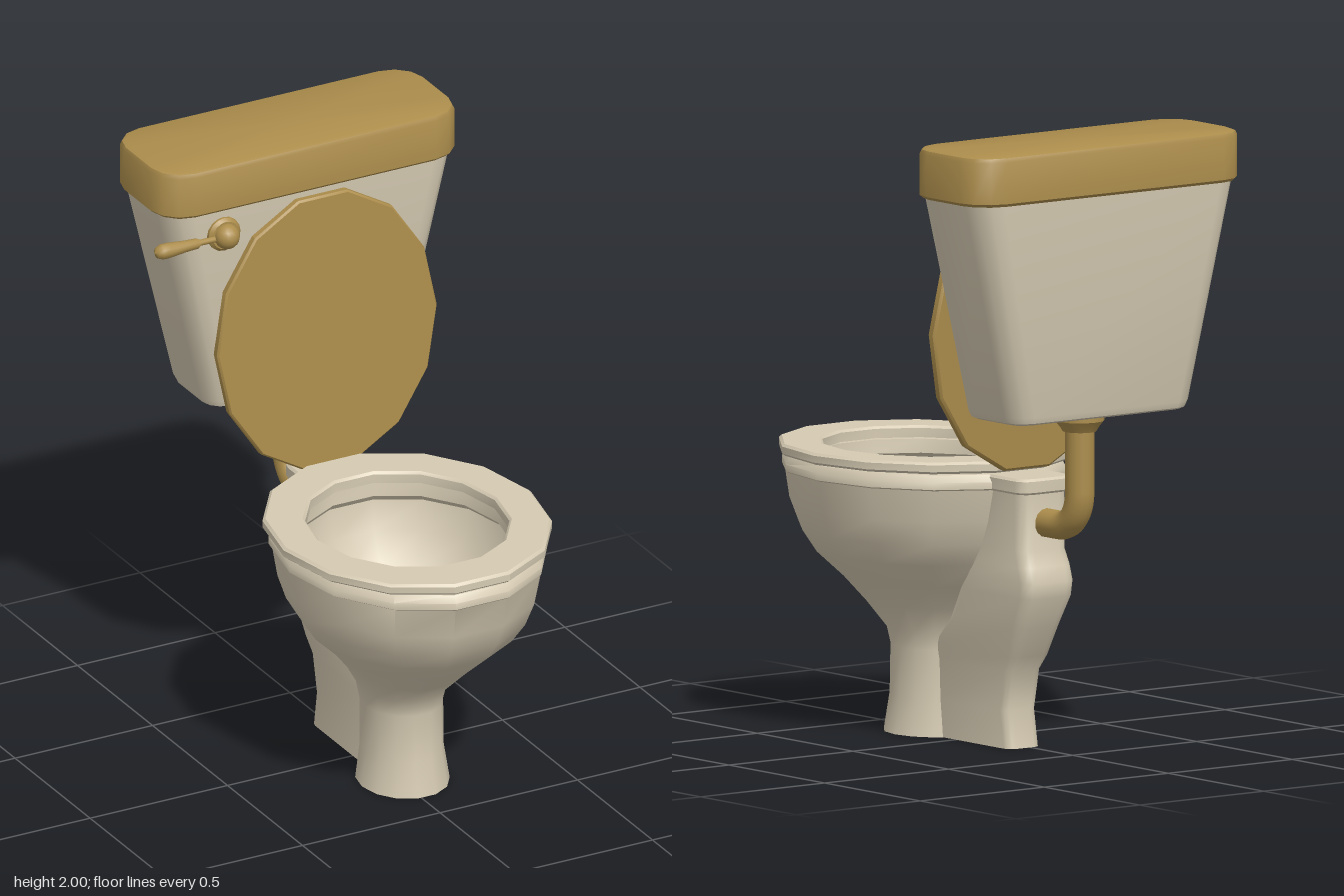
import * as THREE from 'three';
import { toCreasedNormals } from 'three/addons/utils/BufferGeometryUtils.js';

const CX = 0.02; // everything is mirrored about this plane
const SIDES = 14;

// Oval cross-section at height y: half width and front / back z
function oval(y, hw, zf, zb, sides = SIDES) {
  const cz = (zf + zb) / 2, rz = (zf - zb) / 2 / Math.cos(Math.PI / sides / 2 * (sides === SIDES ? 2 : 0));
  return Array.from({ length: sides }, (_, i) => {
    const t = i / sides * Math.PI * 2;
    return [CX + hw * Math.cos(t), y, cz + rz * Math.sin(t)];
  });
}

// Rounded rectangle cross-section at height y
function rounded(y, hw, zf, zb, r, seg = 3) {
  const cz = (zf + zb) / 2, hz = (zf - zb) / 2, ring = [];
  [[1, 1], [-1, 1], [-1, -1], [1, -1]].forEach(([sx, sz], q) => {
    for (let k = 0; k <= seg; k++) {
      const t = (q + k / seg) * Math.PI / 2;
      ring.push([CX + sx * (hw - r) + r * Math.cos(t), y, cz + sz * (hz - r) + r * Math.sin(t)]);
    }
  });
  return ring;
}

// Skin a list of rings; optional caps close the first and last ring
function loft(rings, caps = true, crease = 0.6) {
  const n = rings[0].length, pos = rings.flat(2), idx = [];
  for (let i = 0; i < rings.length - 1; i++) {
    for (let j = 0; j < n; j++) {
      const a = i * n + j, b = i * n + (j + 1) % n;
      idx.push(a, a + n, b, b, a + n, b + n);
    }
  }
  if (caps) {
    [[0, false], [rings.length - 1, true]].forEach(([row, up]) => {
      const c = pos.length / 3;
      const mid = [0, 1, 2].map(k => rings[row].reduce((s, p) => s + p[k], 0) / n);
      pos.push(...mid);
      for (let j = 0; j < n; j++) {
        const a = row * n + j, b = row * n + (j + 1) % n;
        if (up) idx.push(c, b, a); else idx.push(c, a, b);
      }
    });
  }
  const g = new THREE.BufferGeometry();
  g.setAttribute('position', new THREE.Float32BufferAttribute(pos, 3));
  g.setIndex(idx);
  return toCreasedNormals(g, crease);
}

export function createModel() {
  const model = new THREE.Group();
  const cream = new THREE.MeshStandardMaterial({ color: 0xd6cbb3 });
  cream.name = 'cream ceramic';
  const brass = new THREE.MeshStandardMaterial({ color: 0xac8d4c });
  brass.name = 'golden brown';
  const add = (name, geometry, material, parent = model) => {
    const m = new THREE.Mesh(geometry, material);
    m.name = name;
    parent.add(m);
    return m;
  };

  // Pedestal, bowl, rim and hollow inside in one continuous skin
  const bowl = [
    [0, 0.147, 0.375, 0.05], [0.12, 0.13, 0.355, 0.06], [0.28, 0.13, 0.35, 0.06],
    [0.34, 0.143, 0.365, 0.05], [0.42, 0.19, 0.455, 0], [0.5, 0.253, 0.545, -0.07],
    [0.58, 0.335, 0.635, -0.14], [0.65, 0.378, 0.685, -0.18], [0.73, 0.405, 0.72, -0.21],
    [0.835, 0.42, 0.738, -0.235], [0.84, 0.43, 0.744, -0.245], [0.862, 0.43, 0.744, -0.245],
    [0.885, 0.412, 0.728, -0.23], [0.885, 0.335, 0.61, -0.12], [0.84, 0.33, 0.605, -0.115],
    [0.82, 0.35, 0.625, -0.13], [0.72, 0.33, 0.6, -0.11], [0.62, 0.265, 0.53, -0.04],
    [0.55, 0.18, 0.43, 0.04], [0.51, 0.08, 0.32, 0.13],
  ].map(s => oval(...s));
  add('bowl', loft(bowl, true, 0.75), cream);

  // Trapway behind the pedestal
  const trap = [
    [0, 0.065, 0.15, -0.28, 0.03], [0.12, 0.065, 0.14, -0.26, 0.03], [0.25, 0.068, 0.13, -0.283, 0.03],
    [0.3, 0.075, 0.12, -0.32, 0.035], [0.4, 0.088, 0.02, -0.365, 0.04], [0.5, 0.098, -0.04, -0.42, 0.045],
    [0.55, 0.1, -0.08, -0.426, 0.045], [0.6, 0.1, -0.11, -0.41, 0.045], [0.65, 0.095, -0.13, -0.39, 0.045],
    [0.84, 0.095, -0.17, -0.39, 0.045],
  ].map(s => rounded(...s));
  add('trapway', loft(trap, true, 0.8), cream);
  add('rearShelf', loft([
    rounded(0.835, 0.1, -0.14, -0.397, 0.045), rounded(0.842, 0.105, -0.14, -0.403, 0.045),
    rounded(0.878, 0.105, -0.14, -0.403, 0.045), rounded(0.886, 0.098, -0.14, -0.396, 0.045),
  ]), cream);

  // Seat ring
  add('seat', loft([
    [0.892, 0.318, 0.595, -0.105], [0.892, 0.44, 0.735, -0.245], [0.9, 0.45, 0.745, -0.255],
    [0.922, 0.45, 0.745, -0.255], [0.93, 0.441, 0.736, -0.246], [0.93, 0.326, 0.603, -0.113],
    [0.922, 0.318, 0.595, -0.105], [0.892, 0.318, 0.595, -0.105],
  ].map(s => oval(...s)), false, 0.5), cream);

  // Raised lid, leaning back; modelled flat and then stood up
  const lidGeo = loft([
    [-0.017, 0.392, 0.46, -0.46], [-0.01, 0.4, 0.468, -0.468],
    [0.01, 0.4, 0.468, -0.468], [0.017, 0.394, 0.462, -0.462],
  ].map(s => oval(...s)), true, 0.4);
  lidGeo.rotateX(Math.PI / 2 - 0.058);
  add('seatLid', lidGeo, brass).position.set(0, 1.37, -0.302);

  // Tapered cistern and its cover
  add('tank', loft([
    rounded(1.113, 0.335, -0.425, -0.685, 0.05), rounded(1.12, 0.352, -0.41, -0.7, 0.065),
    rounded(1.14, 0.362, -0.404, -0.706, 0.07), rounded(1.85, 0.527, -0.375, -0.736, 0.09),
  ], true, 0.7), cream);
  add('tankCover', loft([
    rounded(1.838, 0.535, -0.371, -0.741, 0.1), rounded(1.848, 0.546, -0.36, -0.752, 0.11),
    rounded(1.982, 0.546, -0.36, -0.752, 0.11), rounded(1.995, 0.54, -0.366, -0.746, 0.105),
    rounded(2, 0.528, -0.378, -0.734, 0.095),
  ], true, 0.7), brass);

  // Flush pipe with its collar
  const path = new THREE.CurvePath();
  const v = (y, z) => new THREE.Vector3(CX, y, z);
  path.add(new THREE.LineCurve3(v(1.09, -0.563), v(0.86, -0.563)));
  path.add(new THREE.CubicBezierCurve3(v(0.86, -0.563), v(0.79, -0.563), v(0.74, -0.52), v(0.74, -0.45)));
  path.add(new THREE.LineCurve3(v(0.74, -0.45), v(0.74, -0.37)));
  add('flushPipe', new THREE.TubeGeometry(path, 32, 0.047, 14), brass);
  const collar = new THREE.LatheGeometry(
    [[0, 0], [0.055, 0], [0.062, 0.012], [0.08, 0.035], [0.08, 0.058], [0, 0.058]]
      .map(p => new THREE.Vector2(...p)), 12);
  add('pipeCollar', toCreasedNormals(collar, 0.6), brass).position.set(CX, 1.056, -0.563);

  // Flush handle: wall plate, knob, arm and grip
  const handle = new THREE.Group();
  handle.name = 'flushHandle';
  handle.position.set(-0.31, 1.755, -0.36);
  model.add(handle);
  const plate = new THREE.LatheGeometry(
    [[0, -0.03], [0.058, -0.03], [0.058, -0.008], [0.048, 0.002], [0, 0.002]]
      .map(p => new THREE.Vector2(...p)), 16);
  plate.rotateX(Math.PI / 2);
  add('handlePlate', toCreasedNormals(plate, 0.6), brass, handle);
  add('handleKnob', new THREE.SphereGeometry(0.042, 16, 10), brass, handle).position.z = 0.008;
  const lever = new THREE.LatheGeometry(
    [[0, 0], [0.01, 0], [0.01, 0.095], [0.017, 0.105], [0.019, 0.15], [0.025, 0.21],
      [0.025, 0.235], [0.018, 0.252], [0, 0.26]].map(p => new THREE.Vector2(...p)), 12);
  lever.rotateZ(Math.PI / 2);
  add('handleLever', lever, brass, handle).position.set(0, -0.004, 0.002);

  return model;
}
